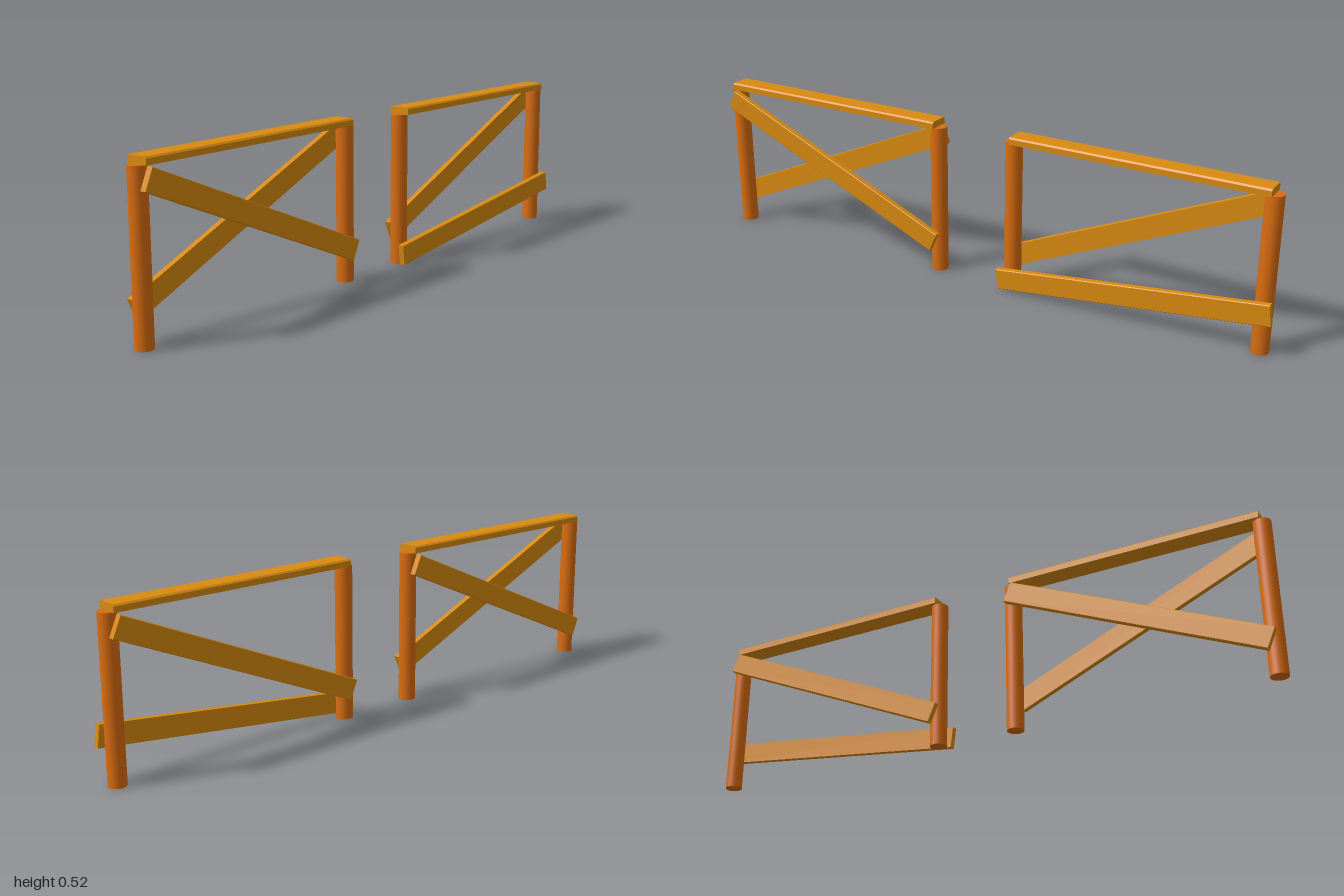
import * as THREE from 'three';

const postMaterial = new THREE.MeshStandardMaterial({ color: 0xd96c10 });
const plankMaterial = new THREE.MeshStandardMaterial({ color: 0xd98a10 });

// Plank along x, width along z, thickness up from y = 0, upper long edges chamfered
function plankGeometry(length, width, thickness, chamfer) {
  const w = width / 2;
  const section = new THREE.Shape([
    new THREE.Vector2(-w, 0),
    new THREE.Vector2(w, 0),
    new THREE.Vector2(w, thickness - chamfer),
    new THREE.Vector2(w - chamfer, thickness),
    new THREE.Vector2(-w + chamfer, thickness),
    new THREE.Vector2(-w, thickness - chamfer),
  ]);
  const geometry = new THREE.ExtrudeGeometry(section, { depth: length, bevelEnabled: false });
  geometry.translate(0, 0, -length / 2);
  geometry.rotateY(Math.PI / 2);
  return geometry;
}

function post(x, name) {
  const mesh = new THREE.Mesh(new THREE.CylinderGeometry(0.0275, 0.0275, 0.5, 24), postMaterial);
  mesh.position.set(x, 0.25, 0);
  mesh.name = name;
  return mesh;
}

// Diagonal board between two points, fixed to the front (side 1) or back (side -1) of the posts
function brace([x1, y1], [x2, y2], side, name) {
  const geometry = plankGeometry(Math.hypot(x2 - x1, y2 - y1), 0.068, 0.02, 0.002);
  geometry.rotateX(Math.PI / 2 * side);
  const mesh = new THREE.Mesh(geometry, plankMaterial);
  mesh.position.set((x1 + x2) / 2, (y1 + y2) / 2, 0.0275 * side);
  mesh.rotation.z = Math.atan2(y2 - y1, x2 - x1);
  mesh.name = name;
  return mesh;
}

function fenceSection(x1, x2, frontStart, frontEnd, name) {
  const section = new THREE.Group();
  section.name = name;
  section.add(post(x1, 'rightPost'), post(x2, 'leftPost'));

  // Flat rail across the post tops
  const rail = new THREE.Mesh(plankGeometry(x2 - x1, 0.072, 0.023, 0.005), plankMaterial);
  rail.position.set((x1 + x2) / 2, 0.5, 0);
  rail.name = 'topRail';
  section.add(rail);

  section.add(brace(frontStart, frontEnd, 1, 'frontBrace'));
  section.add(brace([x1, 0.102], [x2, 0.464], -1, 'backBrace'));
  return section;
}

export function createModel() {
  const model = new THREE.Group();
  model.name = 'fence';
  // Intact section with crossed braces
  model.add(fenceSection(-0.973, -0.146, [-0.975, 0.466], [-0.146, 0.107], 'crossedSection'));
  // Section whose front brace has slipped down
  model.add(fenceSection(0.131, 0.961, [0.098, 0.036], [0.995, 0.144], 'slippedSection'));
  return model;
}
